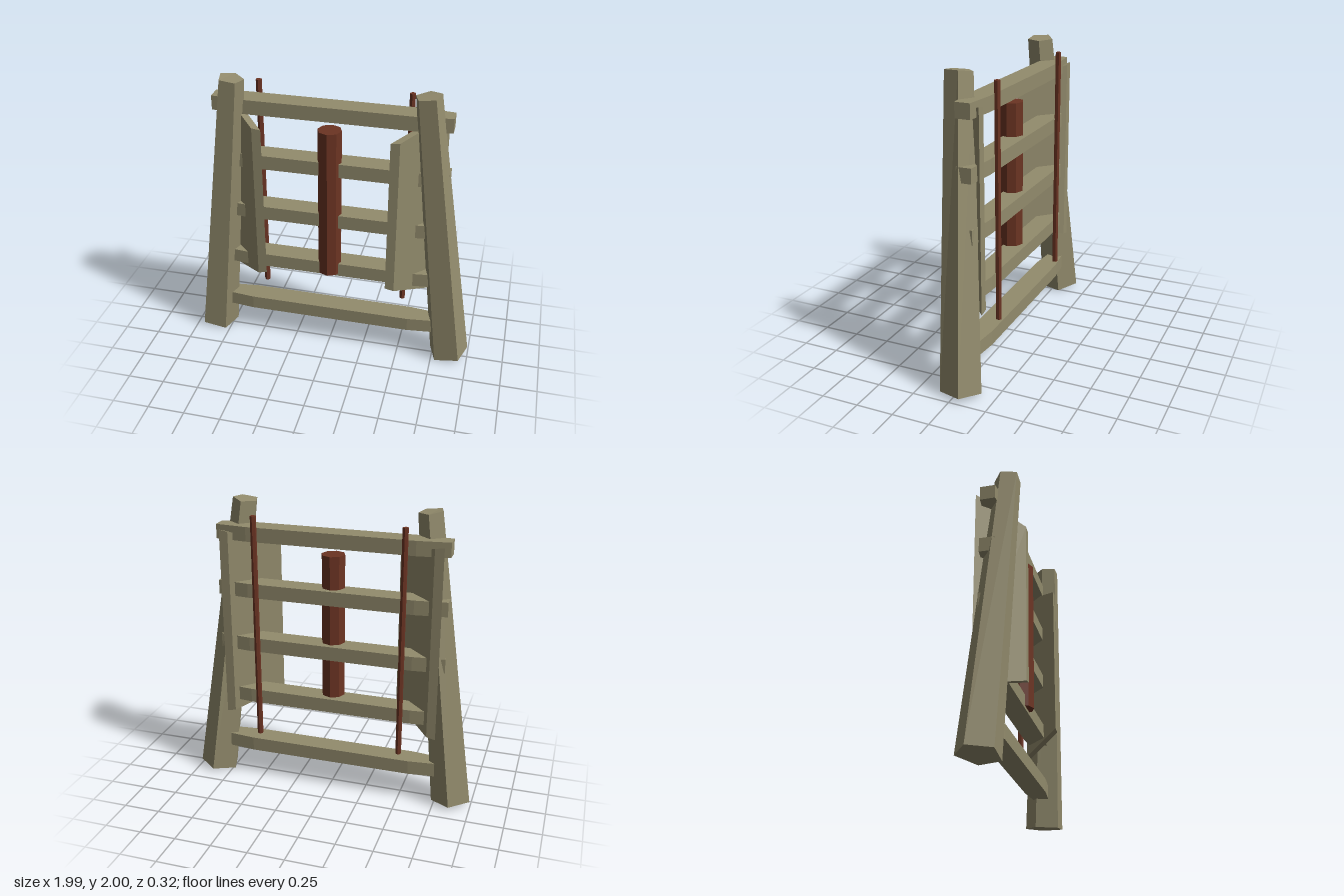
import * as THREE from 'three';

const wood = new THREE.MeshStandardMaterial({ color: 0x938c6d, flatShading: true });
wood.name = 'weathered wood';
const red = new THREE.MeshStandardMaterial({ color: 0x6c3423, flatShading: true });
red.name = 'reddish brown wood';

// Solid between two matching convex rings of [x, y, z] points
function prism(bottom, top) {
  const n = bottom.length;
  let area = 0;
  bottom.forEach((p, i) => {
    const q = bottom[(i + 1) % n];
    area += p[0] * q[2] - q[0] * p[2];
  });
  if (area > 0) {
    bottom = [...bottom].reverse();
    top = [...top].reverse();
  }
  const v = [];
  const tri = (a, b, c) => v.push(...a, ...b, ...c);
  for (let i = 0; i < n; i++) {
    const j = (i + 1) % n;
    tri(bottom[i], bottom[j], top[j]);
    tri(bottom[i], top[j], top[i]);
    if (i > 0 && j > 0) {
      tri(top[0], top[i], top[j]);
      tri(bottom[0], bottom[j], bottom[i]);
    }
  }
  const g = new THREE.BufferGeometry();
  g.setAttribute('position', new THREE.Float32BufferAttribute(v, 3));
  g.computeVertexNormals();
  return g;
}

export function createModel() {
  const model = new THREE.Group();
  model.name = 'gateFrame';
  const add = (name, geometry, material, x = 0, y = 0, z = 0) => {
    const mesh = new THREE.Mesh(geometry, material);
    mesh.name = name;
    mesh.position.set(x, y, z);
    model.add(mesh);
  };

  // Corners for the +x side; mirrored for the other
  const postBottom = [[0.865, 0.025, -0.16], [0.995, 0.037, -0.065], [0.945, 0.025, 0.09], [0.78, 0, 0.09], [0.73, 0.003, -0.06]];
  const postTop = [[0.62, 1.985, -0.02], [0.70, 2, 0.04], [0.675, 1.995, 0.143], [0.57, 1.983, 0.143], [0.54, 1.978, 0.05]];
  const panelBottom = [[0.415, 0.61, 0.157], [0.475, 0.597, 0.157], [0.745, 0.497, -0.11], [0.685, 0.51, -0.11]];
  const panelTop = [[0.415, 1.69, 0.157], [0.475, 1.698, 0.157], [0.745, 1.81, -0.11], [0.685, 1.80, -0.11]];

  for (const [side, s] of [['left', 1], ['right', -1]]) {
    const flip = (ring) => ring.map(([x, y, z]) => [s * x, y, z]);
    // Leaning five-sided post
    add(side + 'Post', prism(flip(postBottom), flip(postTop)), wood);
    // Angled side panel
    add(side + 'Panel', prism(flip(panelBottom), flip(panelTop)), wood);
    // Thin rod behind the rails
    add(side + 'Rod', new THREE.CylinderGeometry(0.02, 0.02, 1.56, 6), red, s * 0.5, 1.14, -0.113);
  }

  // Cross rails with tapered ends
  const plan = [[-0.78, -0.072], [-0.565, -0.095], [0.565, -0.095], [0.78, -0.072],
    [0.78, 0.027], [0.565, 0.05], [-0.565, 0.05], [-0.78, 0.027]];
  [0.2, 0.585, 0.97, 1.355, 1.74].forEach((y, i) => {
    const ring = (h) => plan.map(([x, z]) => [x, h, z]);
    add('rail' + (i + 1), prism(ring(y), ring(y + 0.097)), wood);
  });

  // Octagonal centre pole
  add('centrePole', new THREE.CylinderGeometry(0.08, 0.08, 1.07, 8), red, 0, 1.14, 0.017);

  return model;
}
